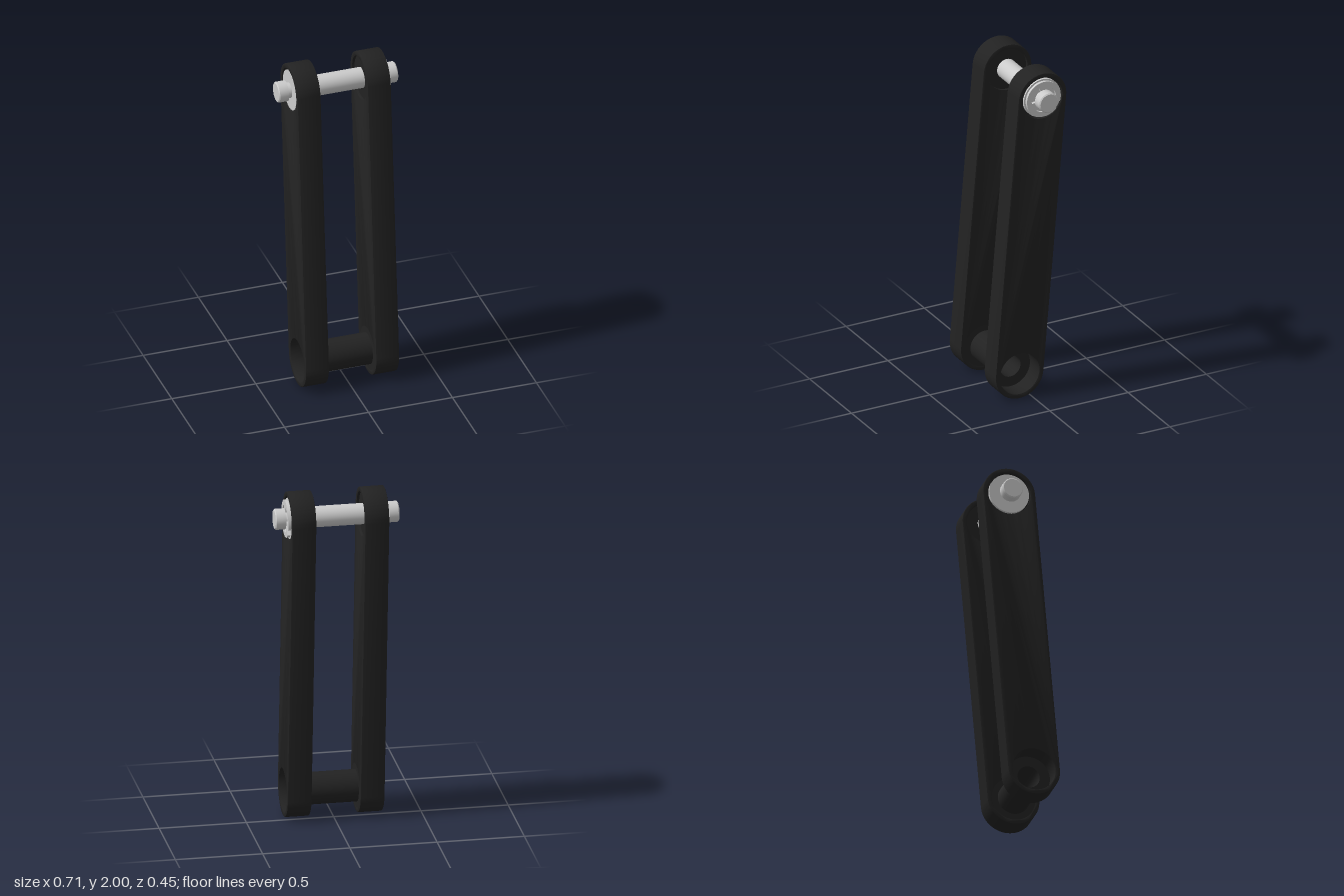
import * as THREE from 'three';
import { toCreasedNormals } from 'three/addons/utils/BufferGeometryUtils.js';

const dark = new THREE.MeshStandardMaterial({ color: 0x222222 });
const steel = new THREE.MeshStandardMaterial({ color: 0xcccccc });

const TOP = { y: 1.847, z: -0.073 };
const BOTTOM = { y: 0.153, z: 0.073 };
const R = 0.153, BORE = 0.125;
const INNER = 0.14, OUTER = 0.278;

function mesh(name, geometry, material) {
  const m = new THREE.Mesh(toCreasedNormals(geometry, 0.6), material);
  m.name = name;
  return m;
}

// Turned part along x from [radius, x] points, placed on a pivot
function turned(name, points, pivot, material, segments = 32) {
  const g = new THREE.LatheGeometry(points.map(p => new THREE.Vector2(...p)), segments);
  g.rotateZ(-Math.PI / 2);
  g.translate(0, pivot.y, pivot.z);
  return mesh(name, g, material);
}

// Flat ring between two radii and two x positions
function ring(name, r0, r1, x0, x1, pivot, material) {
  return turned(name, [[r0, x0], [r1, x0], [r1, x1], [r0, x1], [r0, x0]], pivot, material, 40);
}

// Extrude a side-view shape (shape x = -z) along +x
function extrudeX(name, shape, x0, x1, bevel, material) {
  const g = new THREE.ExtrudeGeometry(shape, {
    depth: x1 - x0 - 2 * bevel, curveSegments: 28, bevelEnabled: bevel > 0,
    bevelSize: bevel, bevelThickness: bevel, bevelOffset: -bevel, bevelSegments: 2,
  });
  g.rotateY(Math.PI / 2);
  g.translate(x0 + bevel, 0, 0);
  return mesh(name, g, material);
}

// Rounded link outline with a bore at each end
function linkShape() {
  const a = Math.atan2(TOP.y - BOTTOM.y, BOTTOM.z - TOP.z);
  const s = new THREE.Shape();
  s.absarc(-TOP.z, TOP.y, R, a - Math.PI / 2, a + Math.PI / 2, false);
  s.absarc(-BOTTOM.z, BOTTOM.y, R, a + Math.PI / 2, a + Math.PI * 1.5, false);
  s.closePath();
  for (const p of [TOP, BOTTOM]) {
    s.holes.push(new THREE.Path().absarc(-p.z, p.y, BORE, 0, Math.PI * 2, true));
  }
  return s;
}

// Open retaining clip: three inner tabs with relief between them
function clipShape() {
  const s = new THREE.Shape(), cx = -TOP.z, cy = TOP.y;
  const rad = THREE.MathUtils.degToRad;
  s.absarc(cx, cy, 0.108, rad(-18), rad(318), false);
  const inner = [[318, 300, 0.045], [300, 230, 0.078], [230, 190, 0.045],
    [190, 110, 0.078], [110, 70, 0.045], [70, 0, 0.078], [0, -18, 0.045]];
  for (const [from, to, r] of inner) s.absarc(cx, cy, r, rad(from), rad(to), true);
  s.closePath();
  return s;
}

export function createModel() {
  const group = new THREE.Group();

  for (const side of [-1, 1]) {
    const x0 = side < 0 ? -OUTER : INNER;
    const at = (a, b) => (side < 0 ? [-b, -a] : [a, b]);
    const label = side < 0 ? 'right' : 'left';

    group.add(extrudeX(label + 'Arm', linkShape(), x0, x0 + OUTER - INNER, 0.005, dark));
    // Floor of the lower counterbore
    group.add(ring(label + 'LowerBoreFloor', 0.065, BORE + 0.006, ...at(INNER + 0.001, 0.165), BOTTOM, dark));
    // Upper bush and the washer seated in its outer face
    group.add(ring(label + 'UpperBush', 0.058, BORE + 0.002, ...at(0.155, 0.255), TOP, dark));
    group.add(ring(label + 'Washer', 0.044, 0.117, ...at(0.25, 0.274), TOP, steel));
  }

  // Lower spacer tube
  group.add(ring('spacerTube', 0.065, 0.092, -0.163, 0.163, BOTTOM, dark));

  // Upper pin with a groove and a chamfered head at each end
  const half = [[0.06, 0.25], [0.045, 0.25], [0.045, 0.296], [0.06, 0.296],
    [0.06, 0.349], [0.054, 0.355], [0, 0.355]];
  const profile = [...half.map(([r, x]) => [r, -x]).reverse(), ...half];
  group.add(turned('pin', profile, TOP, steel));

  group.add(extrudeX('retainingClip', clipShape(), OUTER - 0.002, 0.293, 0, steel));
  return group;
}
